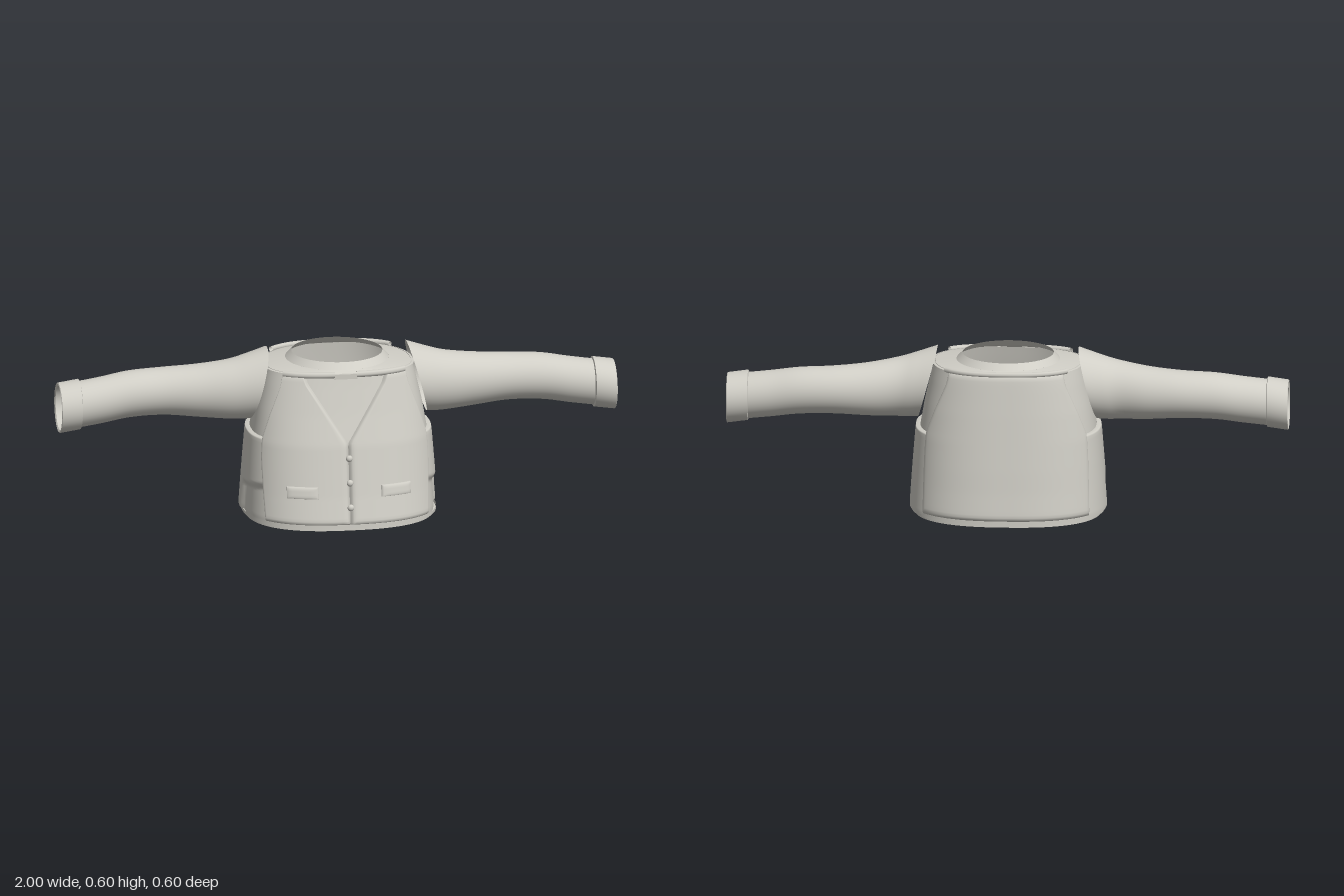
import * as THREE from 'three';
import { mergeVertices } from 'three/addons/utils/BufferGeometryUtils.js';

const cloth = new THREE.MeshStandardMaterial({ color: 0xd0cec6, side: THREE.DoubleSide });
cloth.name = 'pale grey cloth';
const { PI } = Math;
const rad = (d) => d * PI / 180;

// Straight-line interpolation in rows of [key, value, value, ...]
function lookup(rows, k) {
  let i = 0;
  while (i < rows.length - 2 && k > rows[i + 1][0]) i++;
  const [p, q] = [rows[i], rows[i + 1]];
  const f = Math.min(1, Math.max(0, (k - p[0]) / (q[0] - p[0])));
  return p.map((n, j) => n + (q[j] - n) * f);
}

// Torso profile: height, half width, front depth, back depth
const torso = [
  [0, 0.355, 0.303, 0.302], [0.03, 0.355, 0.302, 0.302], [0.12, 0.349, 0.281, 0.292],
  [0.2, 0.343, 0.265, 0.285], [0.3, 0.335, 0.245, 0.275], [0.4, 0.318, 0.216, 0.265],
  [0.5, 0.295, 0.19, 0.254], [0.55, 0.28, 0.178, 0.248],
];
// Angles where the front and back vest panels end, by height
const frontEdge = [[0.02, 37], [0.25, 29], [0.32, 29], [0.5, 42], [0.55, 42]];
const backEdge = [[0.02, 34], [0.25, 31], [0.32, 31], [0.5, 46], [0.55, 46]];
const fe = (y) => rad(lookup(frontEdge, y)[1]);
const be = (y) => rad(lookup(backEdge, y)[1]);

// Point on the rounded-box torso section at height y and angle t (0 = left, 90 = front)
function onTorso(y, t, off = 0) {
  const [, a, f, b] = lookup(torso, y);
  const c = Math.cos(t), s = Math.sin(t);
  return [Math.sign(c) * Math.abs(c) ** 0.8 * (a + off), y,
    Math.sign(s) * Math.abs(s) ** 0.8 * ((s > 0 ? f : b) + off)];
}
// Front angle for a given x
function angleAt(x, y) {
  const c = Math.min(1, Math.abs(x) / lookup(torso, y)[1]) ** 1.25;
  return x < 0 ? PI - Math.acos(c) : Math.acos(c);
}

const steps = (n) => Array.from({ length: n + 1 }, (_, i) => i / n);
const softSteps = (n) => [0, 0.006, 0.015, 0.03,
  ...steps(n).map((k) => 0.05 + 0.9 * k), 0.97, 0.985, 0.994, 1];
// Rounded drop near both ends of 0..1
function roll(k, w = 0.04) {
  const r = Math.min(1, Math.min(k, 1 - k) / w);
  return Math.sqrt(Math.max(0, 1 - (1 - r) ** 2)) - 1;
}

// Smooth surface through a grid of points
function grid(us, vs, fn) {
  const pos = [], index = [], w = us.length;
  vs.forEach((v, j) => us.forEach((u, i) => {
    pos.push(...fn(u, v));
    if (i && j) {
      const d = j * w + i, c = d - 1, b = d - w, a = b - 1;
      index.push(a, c, b, b, c, d);
    }
  }));
  let g = new THREE.BufferGeometry();
  g.setAttribute('position', new THREE.Float32BufferAttribute(pos, 3));
  g.setIndex(index);
  g = mergeVertices(g, 1e-5);
  g.computeVertexNormals();
  return g;
}

// Panel lying on the torso with rolled borders
function panel(y0, y1, tA, tB, lift, depth, nu = 24, nv = 24, w = 0.04) {
  return grid(softSteps(nu), softSteps(nv), (u, v) => {
    const y = y0 + (y1 - y0) * v, t = tA(y) + (tB(y) - tA(y)) * u;
    return onTorso(y, t, lift + depth * Math.min(roll(u, w), roll(v, w)));
  });
}

export function createModel() {
  const model = new THREE.Group();
  model.name = 'jacket';
  const add = (name, geometry) => {
    const m = new THREE.Mesh(geometry, cloth);
    m.name = name;
    model.add(m);
    return m;
  };
  const round = (u) => -PI / 2 + u * 2 * PI;

  // Shirt underneath, with its hem and inner lining
  add('shirtBody', grid(steps(96), steps(24), (u, v) => onTorso(0.548 * v, round(u), -0.02)));
  add('hemBand', grid(steps(96), [0, 1], (u, v) => onTorso(0.01 + 0.012 * v, round(u), -0.01)));
  add('hemLip', grid(steps(96), [0, 1], (u, v) => onTorso(0.01, round(u), -0.02 + 0.01 * (1 - v) - 0.001)));
  add('hemUnderside', grid(steps(96), [0, 1], (u, v) => onTorso(0, round(u), -0.04 + 0.02 * v)));
  add('hemLining', grid(steps(96), [0, 1], (u, v) => onTorso(0.025 * (1 - v), round(u), -0.04)));

  // Yoke over the shoulders and the neck band
  const neck = (u, r, y) => [Math.cos(round(u)) * r, y, Math.sin(round(u)) * r - 0.03];
  add('yoke', grid(steps(96), steps(6), (u, v) => {
    const p = onTorso(0.545, round(u), -0.012), q = neck(u, 0.184, 0.557);
    return p.map((n, i) => n + (q[i] - n) * v);
  }));
  add('neckBand', grid(steps(64), [0, 1], (u, v) => neck(u, 0.184 - 0.022 * v, 0.557 + 0.023 * v)));

  // Back of the vest
  add('vestBack', panel(0.022, 0.552, (y) => PI + be(y), (y) => 2 * PI - be(y), 0, 0.02, 40, 30));

  // Collar rolls along the top borders
  const rollTube = (name, t0, t1, y, off, r) => {
    const pts = steps(12).map((k) => new THREE.Vector3(...onTorso(y, t0 + (t1 - t0) * k, off)));
    add(name, new THREE.TubeGeometry(new THREE.CatmullRomCurve3(pts), 30, r, 8));
  };
  rollTube('backCollarRoll', rad(222), rad(318), 0.55, -0.008, 0.01);

  const vNeck = [[0.02, 0], [0.305, 0], [0.51, 0.14], [0.55, 0.155]];
  for (const s of [1, -1]) {
    const side = s > 0 ? 'left' : 'right';
    const span = (inner, outer) => (s > 0 ? [outer, inner] : [(y) => PI - inner(y), (y) => PI - outer(y)]);
    const mirror = ([a, b]) => (s > 0 ? [a, b] : [(y) => PI - b(y), (y) => PI - a(y)]);

    // Vest front with the V neck
    const inner = (y) => angleAt(lookup(vNeck, y)[1], y);
    add(side + 'VestFront', panel(0.022, 0.548, ...mirror([fe, inner]), 0, 0.017, 24, 40, 0.03));

    // Pocket flap
    add(side + 'PocketFlap', panel(0.118, 0.16,
      ...mirror([(y) => angleAt(0.222, y), (y) => angleAt(0.112, y)]), 0.009, 0.012, 10, 6, 0.1));

    // Shirt collar point inside the V
    add(side + 'CollarPoint', grid(steps(6), steps(6), (u, v) => {
      const y = 0.465 + 0.07 * v, x = 0.07 + (u < 0 ? 0 : (s > 0 ? 0.5 - u : u - 0.5) * 0.075 * v);
      return onTorso(y, angleAt(s * x, y), -0.008);
    }));

    // Front collar roll
    const lim = [rad(42), angleAt(0.04, 0.54)].map((t) => (s > 0 ? t : PI - t));
    rollTube(side + 'FrontCollarRoll', lim[0], lim[1], 0.545, -0.008, 0.012);

    // Lower side panel, pressed in near the front of the hem
    const back = (y) => -be(y) - 0.04, front = (y) => fe(y) + 0.04;
    add(side + 'SidePanel', grid(steps(60), [...steps(50), 1.0001], (u, v) => {
      const y = 0.02 + 0.292 * Math.min(v, 1);
      const t = back(y) + (front(y) - back(y)) * (s > 0 ? u : 1 - u);
      const across = THREE.MathUtils.smoothstep(t, -0.02, 0.04);
      const rise = 1 - THREE.MathUtils.smoothstep(y, 0.105 + 0.04 * t, 0.135 + 0.04 * t);
      const off = v > 1 ? -0.02 : -0.004 - 0.014 * across * rise;
      return onTorso(y, s > 0 ? t : PI - t, off);
    }));

    // Sleeve: x, top, bottom, z centre, z radius, slant
    const sleeve = [
      [0.285, 0.6, 0.345, -0.032, 0.122, 0.27], [0.34, 0.578, 0.343, -0.034, 0.108, 0.18],
      [0.4, 0.558, 0.345, -0.038, 0.097, 0.1], [0.5, 0.54, 0.35, -0.056, 0.09, 0],
      [0.62, 0.53, 0.359, -0.07, 0.084, 0], [0.74, 0.523, 0.356, -0.068, 0.082, 0],
      [0.84, 0.508, 0.342, -0.058, 0.081, 0], [0.93, 0.496, 0.331, -0.05, 0.082, 0],
    ];
    const curve = (j) => new THREE.SplineCurve(sleeve.map((r) => new THREE.Vector2(r[0], r[j])));
    const curves = [1, 2, 3, 4, 5].map(curve);
    const ring = (x, top, bottom, zc, rz, slant, u) => {
      const a = u * 2 * PI, dy = Math.cos(a) * (top - bottom) / 2;
      return [s * (x - slant * dy), (top + bottom) / 2 + dy, zc - s * Math.sin(a) * rz];
    };
    add(side + 'Sleeve', grid(steps(40), steps(36), (u, v) =>
      ring(curves[0].getPoint(v).x, ...curves.map((c) => c.getPoint(v).y), u)));

    // Cuff with a stepped inner lip
    const cuff = [
      [0.922, 0.494, 0.334, -0.05, 0.08], [0.925, 0.505, 0.325, -0.049, 0.09],
      [0.998, 0.494, 0.315, -0.048, 0.093], [1, 0.491, 0.318, -0.048, 0.09],
      [0.996, 0.483, 0.324, -0.048, 0.083], [0.93, 0.492, 0.335, -0.049, 0.08],
    ];
    cuff.slice(1).forEach((b, i) => add(side + 'Cuff' + (i + 1), grid(steps(40), [0, 1],
      (u, v) => ring(...(v ? b : cuff[i]), 0, u))));
  }

  // Small band joining the collar at the throat
  const throat = add('throatBand', new THREE.BoxGeometry(0.085, 0.018, 0.012));
  throat.position.set(0, 0.538, 0.17);

  // Buttons down the front
  for (const y of [0.086, 0.172, 0.258]) {
    const b = add('button', new THREE.SphereGeometry(0.012, 16, 10));
    b.position.set(...onTorso(y, PI / 2, 0.002));
    b.scale.z = 0.8;
  }
  return model;
}
